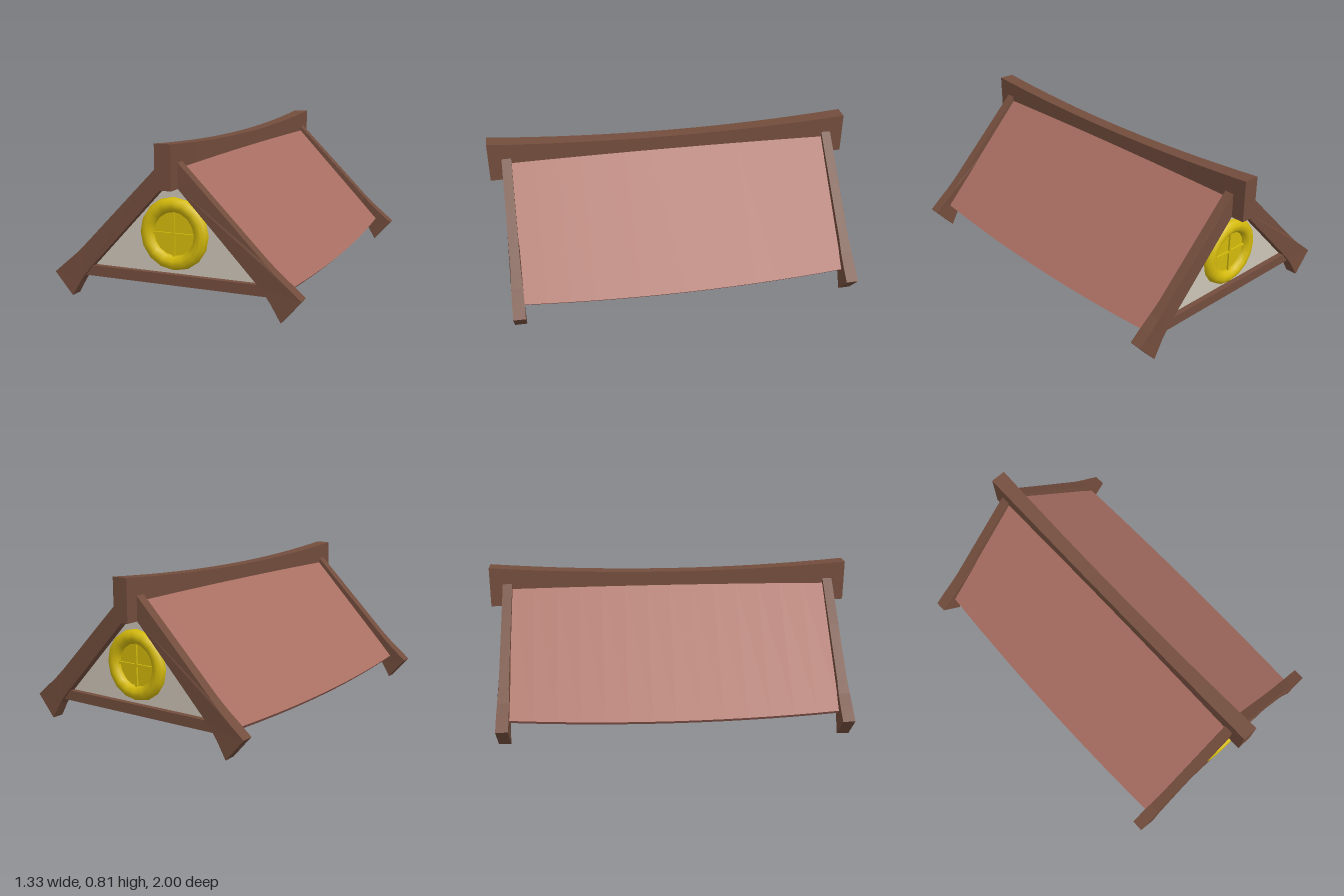
import * as THREE from 'three';

const mat = (name, color) => {
  const m = new THREE.MeshStandardMaterial({ color });
  m.name = name;
  return m;
};

export function createModel() {
  const wood = mat('brown wood', 0x734d3d);
  const tile = mat('red roof', 0xaa6f63);
  const plaster = mat('pale plaster', 0xcdc4b7);
  const yellow = mat('yellow window', 0xd4ba0c);

  const model = new THREE.Group();
  model.name = 'gableRoof';
  const add = (parent, name, geometry, material, x = 0, y = 0, z = 0) => {
    const mesh = new THREE.Mesh(geometry, material);
    mesh.name = name;
    mesh.position.set(x, y, z);
    parent.add(mesh);
    return mesh;
  };
  // Move every vertex by a rule, then refresh the normals
  const deform = (geometry, rule) => {
    const p = geometry.attributes.position;
    const v = new THREE.Vector3();
    for (let i = 0; i < p.count; i++) {
      rule(v.fromBufferAttribute(p, i));
      p.setXYZ(i, v.x, v.y, v.z);
    }
    geometry.computeVertexNormals();
    return geometry;
  };
  const polygon = (points, sign = 1) =>
    new THREE.Shape(points.map(([x, y]) => new THREE.Vector2(x * sign, y)));

  // Ridge beam: sagging top, slightly slimmer in the middle
  const ridge = deform(new THREE.BoxGeometry(1, 1, 2, 1, 1, 16), (v) => {
    const z2 = v.z * v.z;
    v.x *= 0.074 + 0.012 * z2;
    v.y = v.y > 0 ? 0.775 + 0.04 * z2 : 0.594;
  });
  add(model, 'ridgeBeam', ridge, wood);

  // Roof slopes: thin slabs whose eaves bow outward in the middle
  const top = new THREE.Vector2(0.02, 0.715);
  const along = new THREE.Vector2(0.55, -0.58);
  const length = along.length();
  along.normalize();
  const slope = deform(new THREE.BoxGeometry(1, 1, 1.76, 1, 1, 14), (v) => {
    const bow = 0.03 * (1 - (v.z / 0.88) ** 2);
    const s = v.x > 0 ? length + bow : 0;
    const t = v.y > 0 ? 0 : 0.035;
    v.x = top.x + along.x * s + along.y * t;
    v.y = top.y + along.y * s - along.x * t;
  });
  add(model, 'leftRoofSlope', slope, tile);
  add(model, 'rightRoofSlope', slope, tile).rotation.y = Math.PI;

  // Plaster body: both gable walls and the underside
  const body = new THREE.ExtrudeGeometry(
    polygon([[-0.5, 0.14], [0.5, 0.14], [0, 0.66]]),
    { depth: 1.772, bevelEnabled: false });
  add(model, 'gableBody', body, plaster, 0, 0, -0.886);

  // Sloping gable board with a flared foot
  const boardPoints = [
    [0.03, 0.733], [0.25, 0.512], [0.48, 0.28], [0.54, 0.222], [0.6, 0.172], [0.667, 0.116],
    [0.567, 0], [0.515, 0.085], [0.487, 0.122], [0.455, 0.16], [0.25, 0.376], [0.03, 0.607],
  ];
  const board = (sign) => deform(
    new THREE.ExtrudeGeometry(polygon(boardPoints, sign), { depth: 0.052, bevelEnabled: false }),
    (v) => {
      const flare = THREE.MathUtils.clamp((Math.abs(v.x) - 0.47) / 0.1, 0, 1);
      v.z = (v.z - 0.026) * (1 + 0.25 * flare);
    });
  const boards = { leftGableBoard: board(1), rightGableBoard: board(-1) };
  const tie = new THREE.BoxGeometry(0.99, 0.054, 0.04);

  // Round window parts
  const ring = new THREE.TorusGeometry(0.145, 0.0375, 10, 16);
  const pane = new THREE.CylinderGeometry(0.125, 0.125, 0.008, 16).rotateX(Math.PI / 2);
  const barV = new THREE.BoxGeometry(0.012, 0.22, 0.012);
  const barH = new THREE.BoxGeometry(0.22, 0.012, 0.012);

  // The same gable trim at front and back
  for (const [name, turn] of [['frontGable', 0], ['backGable', Math.PI]]) {
    const gable = new THREE.Group();
    gable.name = name;
    gable.rotation.y = turn;
    for (const [n, g] of Object.entries(boards)) add(gable, n, g, wood, 0, 0, 0.903);
    add(gable, 'tieBeam', tie, wood, 0, 0.138, 0.895);
    add(gable, 'windowRing', ring, yellow, 0, 0.364, 0.888);
    add(gable, 'windowPane', pane, yellow, 0, 0.364, 0.888);
    add(gable, 'windowBarVertical', barV, yellow, 0, 0.364, 0.896);
    add(gable, 'windowBarHorizontal', barH, yellow, 0, 0.364, 0.896);
    model.add(gable);
  }
  return model;
}
